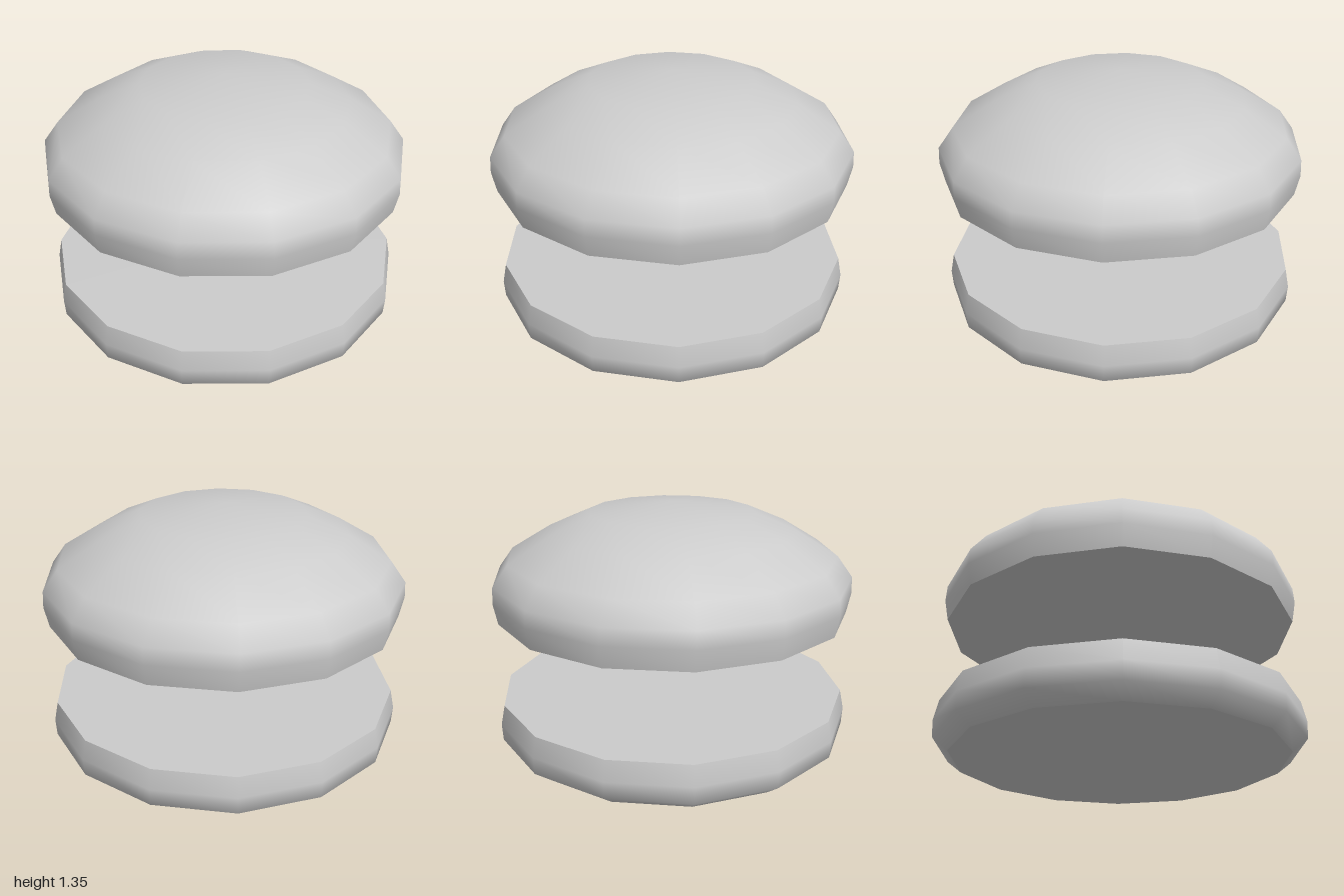
import * as THREE from 'three';

const SIDES = 14;
const material = new THREE.MeshStandardMaterial({ color: 0xcccccc });

// Turned part from [radius, height] points listed bottom to top
function turned(name, profile) {
  const points = profile.map(([r, y]) => new THREE.Vector2(r, y));
  const geometry = new THREE.LatheGeometry(points, SIDES);
  // A closed tip gets a straight vertical normal
  const { position, normal } = geometry.attributes;
  for (let i = 0; i < position.count; i++) {
    if (Math.hypot(position.getX(i), position.getZ(i)) < 1e-5) {
      normal.setXYZ(i, 0, Math.sign(normal.getY(i)) || 1, 0);
    }
  }
  const mesh = new THREE.Mesh(geometry, material);
  mesh.name = name;
  return mesh;
}

function named(name, ...parts) {
  const group = new THREE.Group();
  group.name = name;
  group.add(...parts);
  return group;
}

export function createModel() {
  // Domed upper half with a flat cut face below
  const topBun = named('topBun',
    turned('topBunDome', [
      [0.977, 0.745], [1, 0.86], [0.995, 0.95], [0.912, 1.063],
      [0.685, 1.2], [0.458, 1.297], [0, 1.35],
    ]),
    turned('topBunCutFace', [[0, 0.745], [0.977, 0.745]]));

  // Shallow lower half, flat on both faces
  const bottomBun = named('bottomBun',
    turned('bottomBunSide', [[0.912, 0], [0.995, 0.065], [1, 0.16], [0.977, 0.27]]),
    turned('bottomBunBase', [[0, 0], [0.912, 0]]),
    turned('bottomBunCutFace', [[0.977, 0.27], [0, 0.27]]));

  return named('bun', topBun, bottomBun);
}
